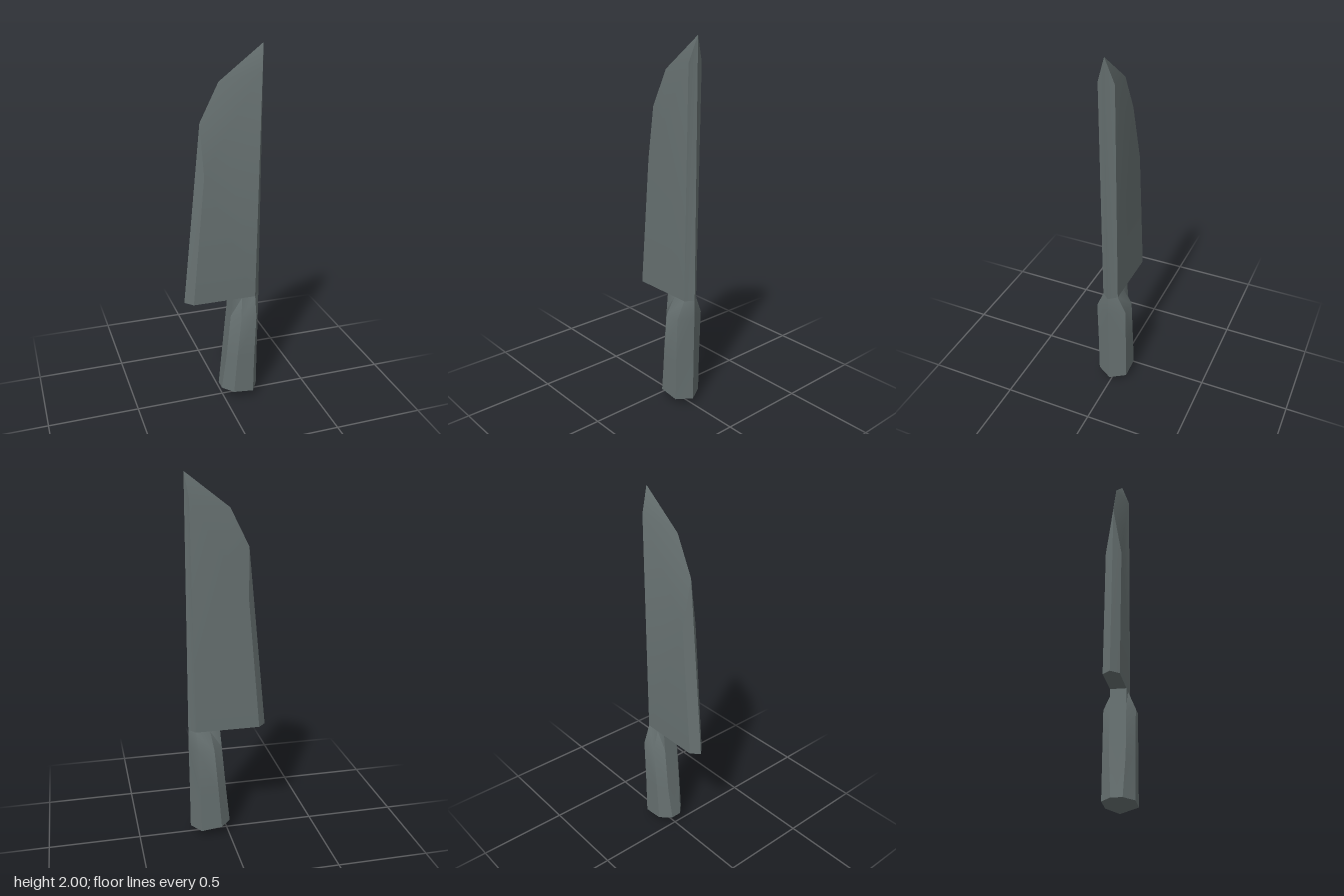
import * as THREE from 'three';
import { toCreasedNormals } from 'three/addons/utils/BufferGeometryUtils.js';

// Fan-triangulates convex faces of the front half and mirrors them across z = 0.
function mirroredGeometry(faces, crease) {
  const pos = [];
  for (const f of faces) {
    for (let i = 1; i < f.length - 1; i++) {
      const tri = [f[0], f[i], f[i + 1]];
      for (const p of tri) pos.push(...p);
      for (const p of tri.reverse()) pos.push(p[0], p[1], -p[2]);
    }
  }
  const g = new THREE.BufferGeometry();
  g.setAttribute('position', new THREE.Float32BufferAttribute(pos, 3));
  return toCreasedNormals(g, crease);
}

export function createModel() {
  const group = new THREE.Group();
  group.name = 'knife';
  const steel = new THREE.MeshStandardMaterial({ color: 0x667070 });
  steel.name = 'greySteel';

  // Blade: centre-line outline, and the full-thickness cheek inside it
  const t = 0.043;
  const edge = [[-0.217, 0.63, 0], [-0.12, 1.62, 0], [-0.02, 1.82, 0], [0.213, 2, 0]];
  const cheek = [[-0.175, 0.63, t], [-0.11, 1.35, t], [0, 1.55, t], [0.195, 1.87, t]];
  const heel = [0.178, 0.63, t];
  const spine = [0.213, 0.63, 0];
  const bladeFaces = [
    [heel, ...cheek.slice().reverse()],
    [heel, spine, edge[3], cheek[3]],
    [edge[0], spine, heel, cheek[0]],
  ];
  for (let i = 0; i < 3; i++) bladeFaces.push([edge[i], cheek[i], cheek[i + 1], edge[i + 1]]);
  const blade = new THREE.Mesh(mirroredGeometry(bladeFaces, 0.5), steel);
  blade.name = 'blade';
  group.add(blade);

  // Handle sections: y, belly x, belly half width, side start x, side end x, side half width, spine x
  const sections = [
    [0.05, -0.012, 0.03, 0.045, 0.16, 0.085, 0.209],
    [0.27, 0.012, 0.042, 0.062, 0.163, 0.085, 0.21],
    [0.53, 0.036, 0.043, 0.085, 0.172, 0.085, 0.213],
    [0.63, 0.045, 0.042, 0.1, 0.178, t, 0.213],
  ];
  const rows = sections.map(([y, bx, bz, x0, x1, sz, px], r) => {
    const h = (x) => (r === 0 ? 0.06 - 0.11 * (x + 0.012) : y); // slanted butt
    return [[bx, h(bx), 0], [bx, h(bx), bz], [x0, h(x0), sz], [x1, h(x1), sz], [px, h(px), 0]];
  });
  const handleFaces = [];
  for (let i = 0; i < 4; i++) {
    for (let r = 0; r < 3; r++) {
      handleFaces.push([rows[r][i], rows[r][i + 1], rows[r + 1][i + 1], rows[r + 1][i]]);
    }
    handleFaces.push([[0.095, 0, 0], rows[0][i + 1], rows[0][i]]); // pointed butt
  }
  const handle = new THREE.Mesh(mirroredGeometry(handleFaces, 0.5), steel);
  handle.name = 'handle';
  group.add(handle);

  return group;
}
